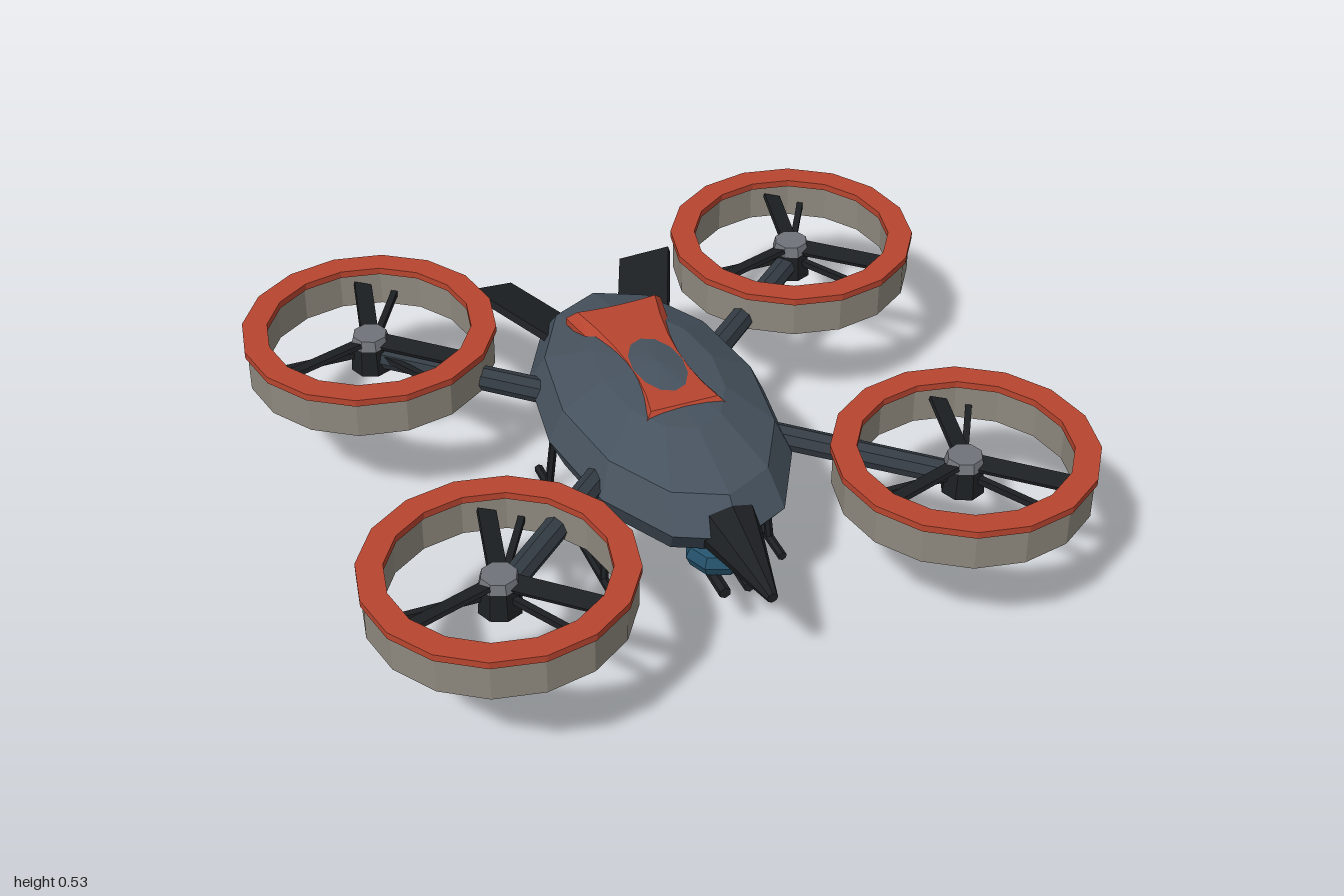
import * as THREE from 'three';

const paint = (color) => new THREE.MeshStandardMaterial({ color, flatShading: true });
const HULL = paint(0x46525e), DARK = paint(0x1d2023), ARM = paint(0x343c44);
const ORANGE = paint(0xb8452f), DUCT = paint(0x8f897e), CAP = paint(0x70747a), LENS = paint(0x24506a);

export function createModel() {
  const model = new THREE.Group();
  model.name = 'quadcopter';

  const add = (parent, name, geometry, material, x = 0, y = 0, z = 0) => {
    const mesh = new THREE.Mesh(geometry, material);
    mesh.name = name;
    mesh.position.set(x, y, z);
    parent.add(mesh);
    return mesh;
  };

  // Tapered rod from a to b
  const rod = (parent, name, a, b, ra, rb, sides, material) => {
    const from = new THREE.Vector3(...a), to = new THREE.Vector3(...b);
    const dir = to.clone().sub(from);
    const mesh = add(parent, name, new THREE.CylinderGeometry(rb, ra, dir.length(), sides), material);
    mesh.position.copy(from).add(to).multiplyScalar(0.5);
    mesh.quaternion.setFromUnitVectors(new THREE.Vector3(0, 1, 0), dir.normalize());
    return mesh;
  };

  // Closed ring with a rectangular section
  const ring = (ri, ro, y0, y1) => new THREE.LatheGeometry(
    [[ri, y0], [ro, y0], [ro, y1], [ri, y1], [ri, y0]].map((p) => new THREE.Vector2(...p)), 16);

  // Hull
  add(model, 'hull', new THREE.SphereGeometry(1, 12, 6).scale(0.315, 0.183, 0.572), HULL, 0, 0.35, 0);

  // Waisted top panel, pierced by the crown of the hull
  const outline = new THREE.Shape();
  outline.moveTo(-0.115, 0.31);
  outline.quadraticCurveTo(0, 0.295, 0.115, 0.31);
  outline.quadraticCurveTo(0.04, 0.02, 0.095, -0.19);
  outline.lineTo(-0.095, -0.19);
  outline.quadraticCurveTo(-0.04, 0.02, -0.115, 0.31);
  const panel = new THREE.ExtrudeGeometry(outline, {
    depth: 0.02, bevelSize: 0.025, bevelThickness: 0.028, bevelSegments: 1, curveSegments: 6,
  }).rotateX(-Math.PI / 2);
  add(model, 'topPanel', panel, ORANGE, 0, 0.474, 0);

  // Nose cone
  rod(model, 'nose', [0, 0.34, 0.46], [0, 0.318, 0.775], 0.095, 0.015, 8, DARK);

  // Sensor, turret and twin barrels under the nose
  add(model, 'sensor', new THREE.SphereGeometry(1, 8, 6).scale(0.095, 0.058, 0.09), LENS, 0, 0.215, 0.435);
  add(model, 'turret', new THREE.SphereGeometry(0.085, 8, 6), DARK, 0, 0.19, 0.25);
  for (const s of [-1, 1]) {
    rod(model, 'barrel', [s * 0.035, 0.172, 0.22], [s * 0.035, 0.172, 0.56], 0.017, 0.017, 6, DARK);
  }

  for (const s of [-1, 1]) {
    // Tail fins, splayed outwards with raised outer edges
    const fin = add(model, 'tailFin', new THREE.BoxGeometry(0.15, 0.022, 0.4), DARK, s * 0.163, 0.385, -0.515);
    fin.rotation.set(0, -s * 0.39, s * 0.3, 'YXZ');

    // Landing gear
    rod(model, 'skid', [s * 0.245, 0.013, -0.31], [s * 0.245, 0.013, 0.31], 0.013, 0.013, 6, DARK);
    for (const e of [-1, 1]) {
      rod(model, 'skidLeg', [s * 0.245, 0.015, e * 0.22], [s * 0.225, 0.27, e * 0.198], 0.012, 0.012, 6, DARK);
    }
  }

  // Four ducted rotors on arms
  for (const sx of [-1, 1]) {
    for (const sz of [-1, 1]) {
      const cx = sx * 0.645, cz = sz * 0.556;
      rod(model, 'arm', [sx * 0.2, 0.36, sz * 0.16], [cx, 0.36, cz], 0.036, 0.034, 8, ARM);

      const rotor = new THREE.Group();
      rotor.name = 'rotor';
      rotor.position.set(cx, 0, cz);
      model.add(rotor);

      add(rotor, 'duct', ring(0.295, 0.347, 0.333, 0.442), DUCT);
      add(rotor, 'ductRim', ring(0.285, 0.355, 0.438, 0.458), ORANGE);
      add(rotor, 'motor', new THREE.CylinderGeometry(0.052, 0.06, 0.085, 8), DARK, 0, 0.363, 0);
      add(rotor, 'hubCap', new THREE.CylinderGeometry(0.048, 0.056, 0.03, 8), CAP, 0, 0.415, 0);

      for (let k = 0; k < 3; k++) {
        const turn = k * Math.PI * 2 / 3;
        // Struts hold the motor, pitched blades turn above them
        const strut = add(rotor, 'strut', new THREE.BoxGeometry(0.29, 0.018, 0.018).translate(0.15, 0, 0), DARK, 0, 0.37, 0);
        strut.rotation.y = Math.PI / 3 + turn;
        const blade = add(rotor, 'blade',
          new THREE.BoxGeometry(0.25, 0.012, 0.05).rotateX(0.3).translate(0.15, 0, 0), DARK, 0, 0.41, 0);
        blade.rotation.y = 1.36 + turn;
      }
    }
  }
  return model;
}
